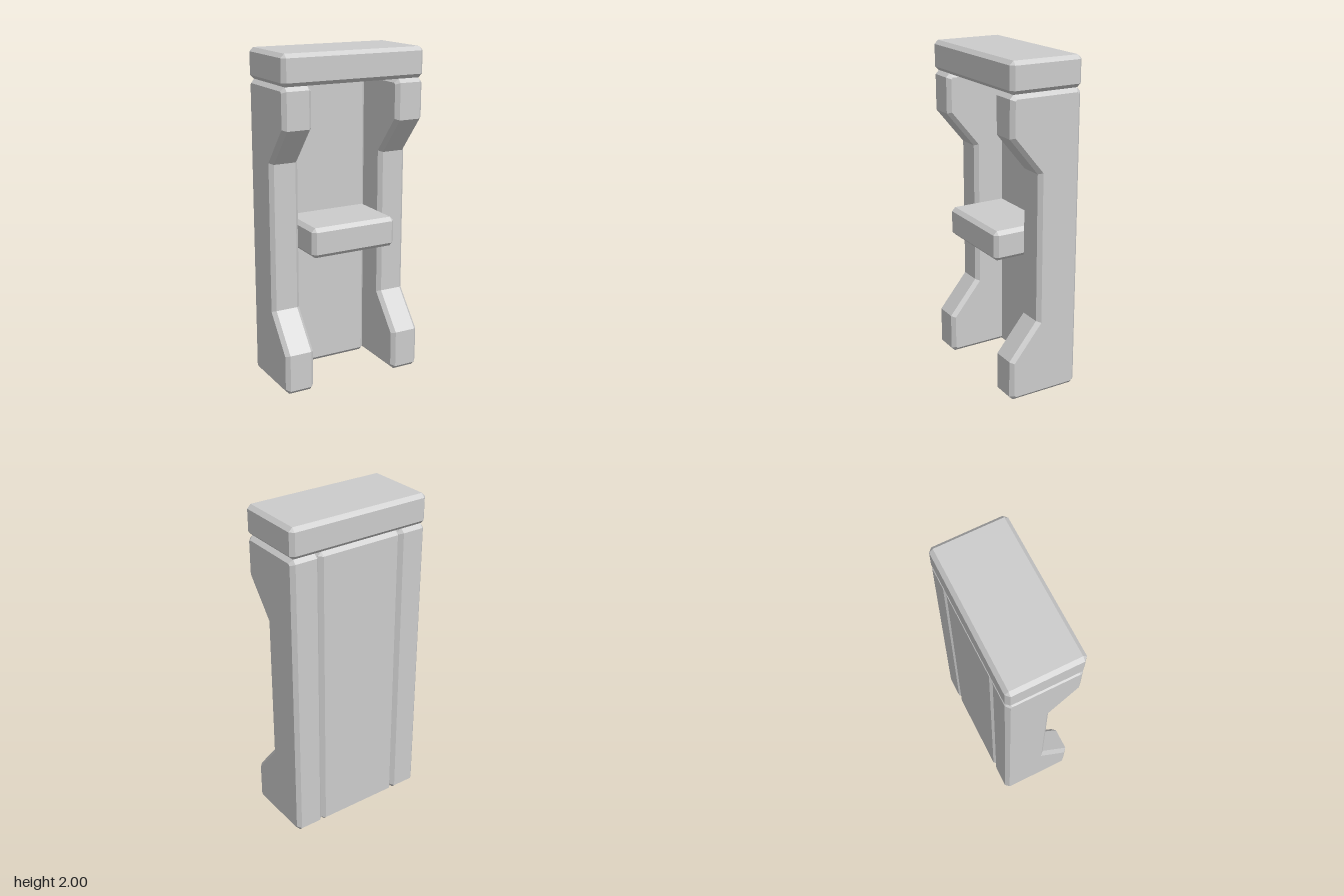
import * as THREE from 'three';
import { ConvexGeometry } from 'three/addons/geometries/ConvexGeometry.js';

const BEVEL = 0.023;

// Box with every edge chamfered, given by its two opposite corners
function chamferBox([x0, y0, z0], [x1, y1, z1]) {
  const half = [(x1 - x0) / 2, (y1 - y0) / 2, (z1 - z0) / 2];
  const points = [];
  for (const sx of [-1, 1]) for (const sy of [-1, 1]) for (const sz of [-1, 1]) {
    for (let axis = 0; axis < 3; axis++) {
      const p = half.map((h, i) => (i === axis ? h : h - BEVEL));
      points.push(new THREE.Vector3(p[0] * sx, p[1] * sy, p[2] * sz));
    }
  }
  return new ConvexGeometry(points).translate((x0 + x1) / 2, (y0 + y1) / 2, (z0 + z1) / 2);
}

// Notched side slab: (z, y) outline with cut corners, extruded along x
function sideGeometry(width) {
  const b = BEVEL, front = 0.226, back = -0.226, top = 1.82, notch = 0.045;
  const outline = [
    [back + b, 0], [front - b, 0], [front, b],
    [front, 0.25], [notch, 0.47], [notch, 1.36], [front, 1.58],
    [front, top - b], [front - b, top], [back + b, top],
    [back, top - b], [back, b],
  ].map(([z, y]) => new THREE.Vector2(z, y));
  const geometry = new THREE.ExtrudeGeometry(new THREE.Shape(outline), {
    depth: width - 2 * b, bevelEnabled: true, bevelSegments: 1,
    bevelThickness: b, bevelSize: b, bevelOffset: -b,
  });
  return geometry.translate(0, 0, b - width / 2).rotateY(-Math.PI / 2);
}

export function createModel() {
  const group = new THREE.Group();
  const material = new THREE.MeshStandardMaterial({ color: 0xcccccc, flatShading: true });
  const add = (name, geometry) => {
    const mesh = new THREE.Mesh(geometry, material);
    mesh.name = name;
    group.add(mesh);
    return mesh;
  };

  // Cap slab, back panel and the shelf between the sides
  add('topSlab', chamferBox([-0.455, 1.82, -0.228], [0.455, 2, 0.228]));
  add('backPanel', chamferBox([-0.275, 0, -0.226], [0.275, 1.82, -0.13]));
  add('shelf', chamferBox([-0.275, 0.82, -0.16], [0.275, 1, 0.226]));

  // Matching side panels
  const side = sideGeometry(0.182);
  add('leftSide', side).position.x = 0.363;
  add('rightSide', side).position.x = -0.363;

  return group;
}
